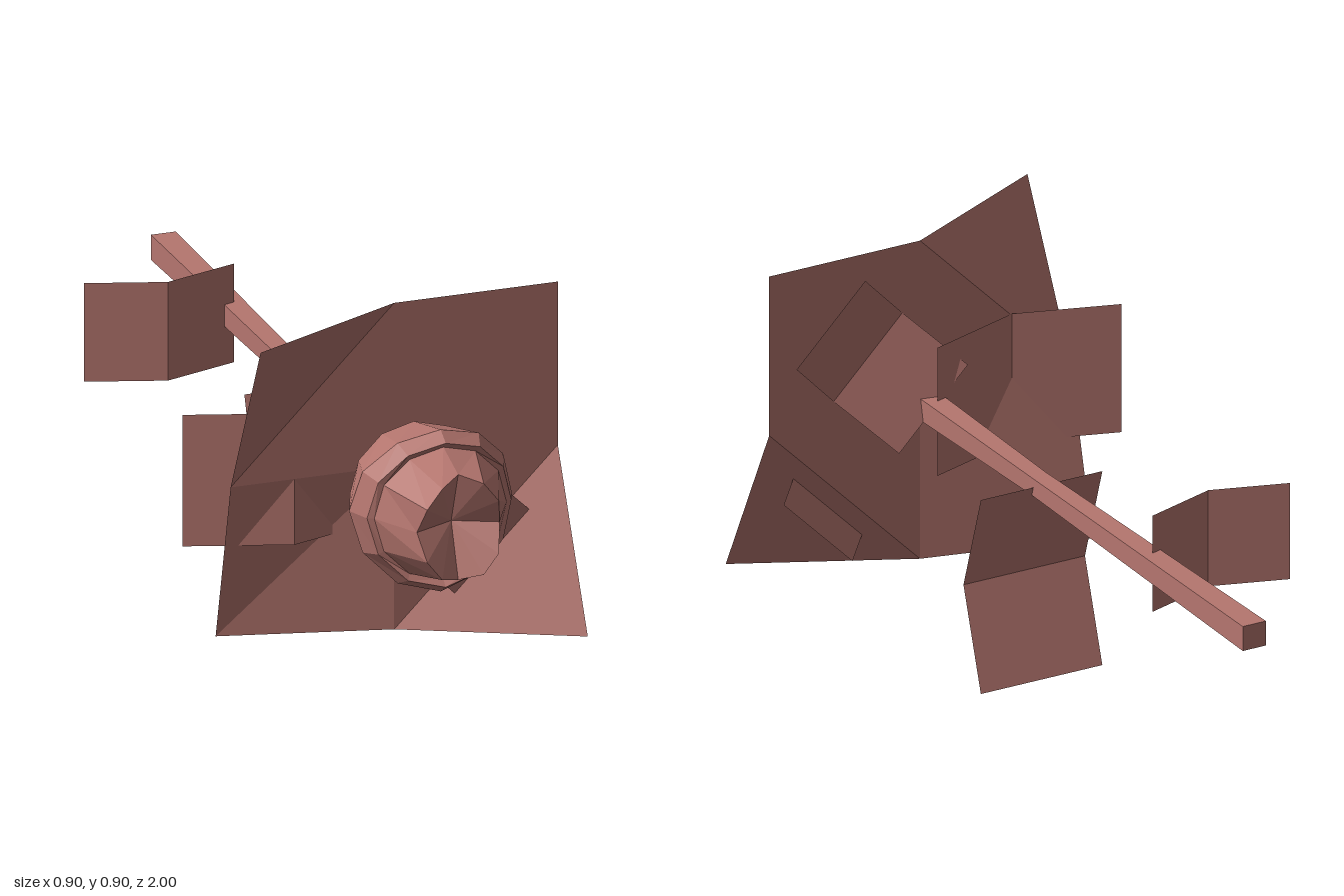
import * as THREE from 'three';

const CX = 0.043, CY = 0.495; // stem axis, running along z

function createMaterial() {
  return new THREE.MeshStandardMaterial({ color: 0xb5766f, flatShading: true, side: THREE.DoubleSide });
}

// Closed skin through rings along z; point(ring, angle) gives each vertex
function loft(rings, sides, point) {
  const pos = [], idx = [];
  rings.forEach((r) => {
    for (let j = 0; j < sides; j++) pos.push(...point(r, (j / sides) * Math.PI * 2));
  });
  for (let i = 0; i < rings.length - 1; i++) {
    for (let j = 0; j < sides; j++) {
      const a = i * sides + j, b = i * sides + (j + 1) % sides;
      idx.push(a, b, b + sides, a, b + sides, a + sides);
    }
  }
  const g = new THREE.BufferGeometry();
  g.setAttribute('position', new THREE.Float32BufferAttribute(pos, 3));
  g.setIndex(idx);
  g.computeVertexNormals();
  return g;
}

// Leaf growing along +y from the stem, creased forward at its middle
function leafGeometry(scale, tilt) {
  const g = new THREE.PlaneGeometry(0.325 * scale, 0.492 * scale, 1, 2);
  const p = g.attributes.position;
  for (let i = 0; i < p.count; i++) {
    if (Math.abs(p.getY(i)) < 0.01) p.setZ(i, 0.08 * scale);
  }
  g.translate(0, 0.246 * scale, 0);
  g.rotateX(tilt);
  g.computeVertexNormals();
  return g;
}

export function createModel() {
  const group = new THREE.Group();
  const material = createMaterial();
  const add = (name, geometry, z = 0) => {
    const mesh = new THREE.Mesh(geometry, material);
    mesh.name = name;
    mesh.position.set(CX, CY, z);
    group.add(mesh);
    return mesh;
  };

  // Flower head: outer cup with a wavy lip, inner bud and hollow centre
  // z, x radius, y radius, two-fold wave, four-fold wave
  const bud = [
    [0.53, 0, 0, 0, 0],
    [0.59, 0.075, 0.075, 0, 0],
    [0.67, 0.157, 0.157, 0, 0],
    [0.815, 0.2, 0.2, -0.035, 0],
    [0.862, 0.178, 0.178, -0.022, 0],
    [0.858, 0.163, 0.163, -0.01, 0],
    [0.989, 0.102, 0.13, 0, -0.022],
    [0.92, 0, 0, 0, 0],
  ];
  add('flowerHead', loft(bud, 12, ([z, rx, ry, w2, w4], t) => [
    rx * Math.cos(t), ry * Math.sin(t), z + w2 * Math.cos(2 * t) + w4 * Math.cos(4 * t),
  ]));

  // Square stem, slimmest in the middle
  const stem = [[-1, 0], [-1, 0.031], [0, 0.022], [0.54, 0.028], [0.54, 0]];
  add('stem', loft(stem, 4, ([z, h], t) => [
    h * Math.SQRT2 * Math.cos(t + Math.PI / 4), h * Math.SQRT2 * Math.sin(t + Math.PI / 4), z,
  ]));

  // Square collar of petals with bent corners
  const collar = new THREE.PlaneGeometry(0.807, 0.807, 2, 2);
  const p = collar.attributes.position;
  [[0, 0.2], [6, -0.1], [8, 0.2]].forEach(([corner, bend]) => p.setZ(corner, bend));
  collar.computeVertexNormals();
  add('petalCollar', collar, 0.54);

  // Creased leaves: name, scale, z, turn in degrees, tilt in degrees
  [
    ['rightLeaf', 1, 0.46, 90, 0],
    ['lowerLeaf', 1, -0.02, 180, 0],
    ['tailLeaf', 0.75, -0.53, 90, 0],
    ['upperSepal', 0.8, 0.478, -45, -1],
    ['lowerSepal', 0.8, 0.598, -135, -9],
  ].forEach(([name, scale, z, turn, tilt]) => {
    const leaf = add(name, leafGeometry(scale, THREE.MathUtils.degToRad(tilt)), z);
    leaf.rotation.z = THREE.MathUtils.degToRad(turn);
  });

  return group;
}
